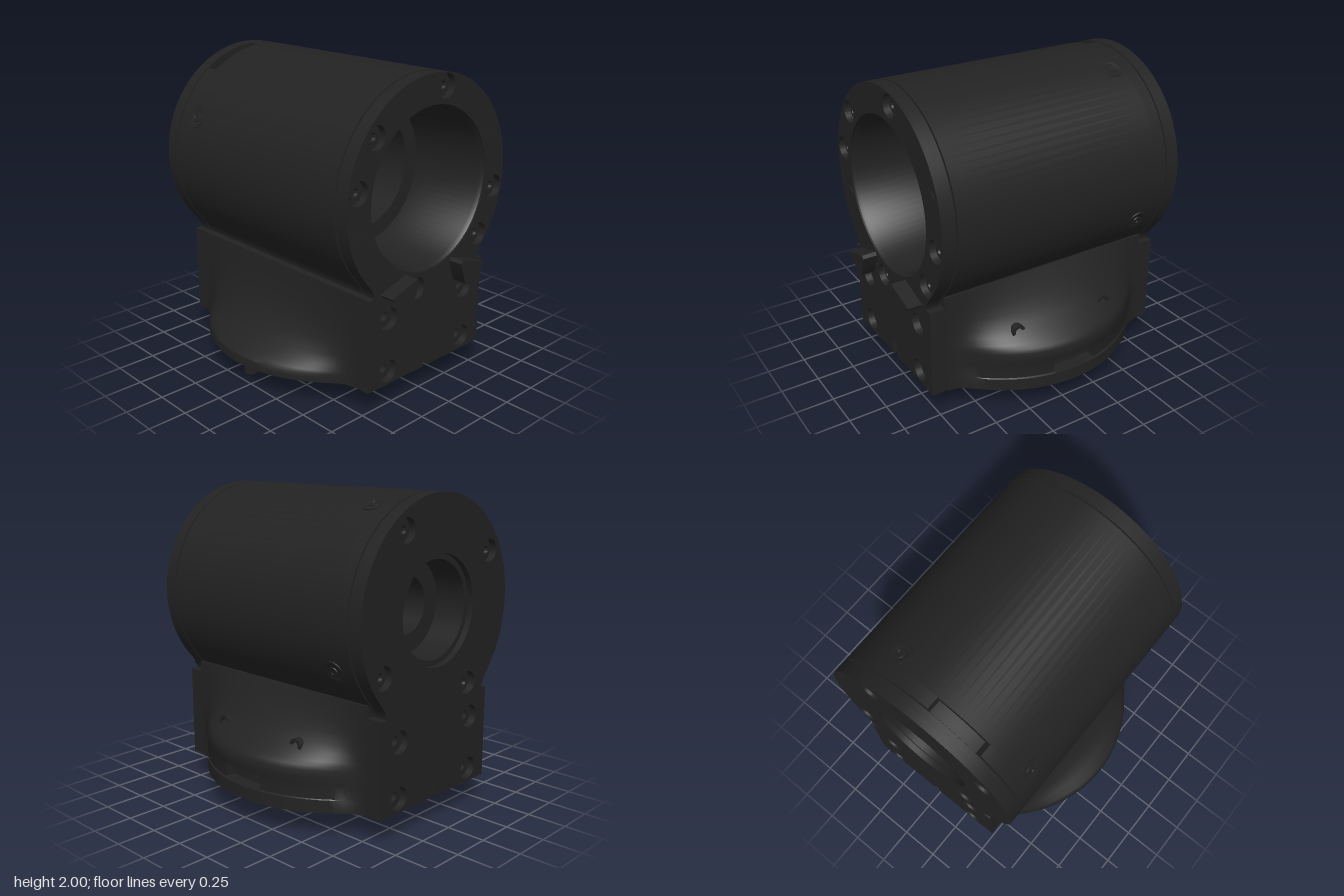
import * as THREE from 'three';
import { toCreasedNormals } from 'three/addons/utils/BufferGeometryUtils.js';

const CY = 1.315, R = 0.685, BASE = 0.17, ZC = -0.05;
const mat = new THREE.MeshStandardMaterial({ color: 0x222222 });
const matDouble = new THREE.MeshStandardMaterial({ color: 0x222222, side: THREE.DoubleSide });
const rad = THREE.MathUtils.degToRad;

function add(parent, name, geo, material = mat) {
  const mesh = new THREE.Mesh(toCreasedNormals(geo, 0.55), material);
  mesh.name = name;
  parent.add(mesh);
  return mesh;
}

// Round housing running down into a square foot
function outline({ inset = 0, notch = false, slot = false } = {}) {
  const r = R - inset, w = 0.46 - inset, y0 = BASE + inset;
  const a0 = rad(-40.5), a1 = Math.PI - a0;
  const s = new THREE.Shape();
  s.moveTo(-w, y0);
  if (slot) {
    s.lineTo(-0.022, y0); s.lineTo(-0.022, 0.26); s.lineTo(0, 0.275);
    s.lineTo(0.022, 0.26); s.lineTo(0.022, y0);
  }
  s.lineTo(w, y0);
  s.lineTo(w, 0.76);
  s.quadraticCurveTo(w, 0.8, r * Math.cos(a0), CY + r * Math.sin(a0));
  if (notch) {
    s.absarc(0, CY, r, a0, rad(94), false);
    s.absarc(0, CY, 0.64, rad(95), rad(125), false);
    s.absarc(0, CY, r, rad(126), a1, false);
  } else s.absarc(0, CY, r, a0, a1, false);
  s.quadraticCurveTo(-w, 0.8, -w, 0.76);
  s.closePath();
  return s;
}

function hole(shape, x, y, r) {
  const p = new THREE.Path();
  p.absarc(x, y, r, 0, Math.PI * 2, true);
  shape.holes.push(p);
}

function slab(shape, z0, z1, seg = 32) {
  return new THREE.ExtrudeGeometry(shape, { depth: z1 - z0, bevelEnabled: false, curveSegments: seg }).translate(0, 0, z0);
}

const polar = (deg, r) => [r * Math.cos(rad(deg)), CY + r * Math.sin(rad(deg))];
const through = [[-0.34, 0.6], [0.34, 0.6], [-0.34, 0.258], [0.34, 0.258]];

function housingSlice(opts, z0, z1, bore, holes, holeR) {
  const s = outline(opts);
  hole(s, 0, CY, bore);
  holes.forEach(([x, y]) => hole(s, x, y, holeR));
  return slab(s, z0, z1);
}

// Outward bulge of the skirt along z, 0 at the ends and 1 at the middle
function bulge(z) {
  const s = Math.sqrt(Math.max(0, 0.83 ** 2 - (z - ZC) ** 2)) - 0.505;
  return (s + Math.sqrt(s * s + 0.004)) / 2 / 0.328;
}

const leftProfile = [[0.505, 0.83], [0.535, 0.765], [0.57, 0.7], [0.61, 0.632], [0.66, 0.57], [0.72, 0.52], [0.78, 0.48],
  [0.808, 0.458], [0.822, 0.43], [0.824, 0.39], [0.815, 0.345], [0.812, 0.335], [0.812, 0.255], [0.825, 0.25], [0.825, BASE]];
const rightProfile = [[0.505, 0.76], [0.52, 0.66], [0.54, 0.57], [0.57, 0.48], [0.61, 0.41], [0.665, 0.34],
  [0.74, 0.275], [0.8, 0.245], [0.82, 0.225], [0.825, 0.2], [0.825, BASE]];

// Skirt lofted along z; the left one has a cable slot near its foot
function skirt(side, profile, slot) {
  const rows = [];
  for (let i = 0; i <= 48; i++) rows.push({ z: -0.78 + 1.48 * i / 48, cut: 0 });
  if (slot) {
    for (const row of rows) if (row.z > -0.2 && row.z < 0.11) row.cut = 0.07;
    for (const z of [-0.2, 0.11]) rows.push({ z, cut: 0 }, { z: z + (z < 0 ? 0.003 : -0.003), cut: 0.07 });
    rows.sort((a, b) => a.z - b.z);
  }
  const pos = [], idx = [], n = profile.length + 2;
  const tri = (a, b, c) => (side > 0 ? idx.push(a, b, c) : idx.push(a, c, b));
  for (const { z, cut } of rows) {
    const k = bulge(z);
    pos.push(side * 0.43, profile[0][1], z);
    profile.forEach(([x, y], j) => {
      const inSlot = slot && (j === 11 || j === 12);
      pos.push(side * (0.505 + (x - 0.505) * k - (inSlot ? cut : 0)), y, z);
    });
    pos.push(side * 0.43, BASE, z);
  }
  for (let i = 0; i < rows.length - 1; i++) for (let j = 0; j < n - 1; j++) {
    const a = i * n + j, c = a + n;
    tri(a, c, a + 1);
    tri(a + 1, c, c + 1);
  }
  const last = (rows.length - 1) * n;
  for (let j = 1; j < n - 1; j++) {
    tri(0, j, j + 1);
    tri(last, last + j + 1, last + j);
  }
  const g = new THREE.BufferGeometry();
  g.setAttribute('position', new THREE.Float32BufferAttribute(pos, 3));
  g.setIndex(idx);
  return g;
}

const lathe = (pts, seg = 48) => new THREE.LatheGeometry(pts.map(p => new THREE.Vector2(...p)), seg);

// Socket screw head facing +y: rim, sunken socket
const screw = (r) => lathe([[r, -0.05], [r, 0], [r * 0.55, 0], [r * 0.45, -0.02], [0, -0.02]], 24);

export function createModel() {
  const model = new THREE.Group();
  model.name = 'jointHousing';

  // Barrel, with a notch at the rear edge and a recessed core showing in the seams
  add(model, 'barrel', housingSlice({}, -0.71, 0.7, 0.5, through, 0.04));
  add(model, 'barrelNotchedEnd', housingSlice({ notch: true }, -0.79, -0.71, 0.5, through, 0.04));
  add(model, 'seamCore', housingSlice({ inset: 0.05 }, -0.81, 0.725, 0.5, through, 0.04));

  // End plates: inner layer with narrow holes, outer layer with counterbores
  const frontScrews = [80, 140, 170, 260, -10, -40].map(a => polar(a, 0.605));
  const backScrews = [57.7, 148, 238, -32].map(a => polar(a, 0.58));
  const plates = [
    { name: 'front', zs: [0.71, 0.755, 0.8], bore: 0.5, screws: frontScrews, dir: 1 },
    { name: 'back', zs: [-0.8, -0.843, -0.888], bore: 0.335, screws: backScrews, dir: -1 },
  ];
  for (const { name, zs, bore, screws, dir } of plates) {
    const all = [...through, ...screws];
    const [a, b, c] = zs;
    add(model, name + 'PlateInner', housingSlice({}, Math.min(a, b), Math.max(a, b), bore, all, 0.032));
    add(model, name + 'PlateOuter', housingSlice({ slot: true }, Math.min(b, c), Math.max(b, c), bore, all, 0.072));
    for (const [x, y] of screws) {
      const m = add(model, name + 'Screw', screw(0.045));
      m.rotation.x = dir * Math.PI / 2;
      m.position.set(x, y, b + dir * 0.015);
    }
  }
  // Flush dowel pins in the front plate
  for (const a of [20, 200]) {
    const [x, y] = polar(a, 0.588);
    add(model, 'dowelPin', new THREE.CylinderGeometry(0.06, 0.06, 0.03, 32).rotateX(Math.PI / 2).translate(x, y, 0.788));
  }

  // Stepped bore through the barrel
  add(model, 'bore', lathe([[0.5, 0.79], [0.485, 0.765], [0.485, 0.25], [0.38, 0.25], [0.38, 0], [0.18, 0], [0.18, -0.05],
    [0.125, -0.05], [0.125, -0.45], [0.18, -0.45], [0.18, -0.64], [0.3, -0.64], [0.3, -0.85], [0.336, -0.85]], 72)
    .rotateX(Math.PI / 2).translate(0, CY, 0), matDouble);

  // Radial screws near the rear of the barrel
  for (const a of [65, 155, -25]) {
    const holder = new THREE.Group();
    holder.name = 'radialScrew';
    holder.position.set(...polar(a, R), -0.635);
    holder.rotation.z = rad(a - 90);
    model.add(holder);
    add(holder, 'screwSeat', lathe([[0.074, -0.02], [0.072, 0.002], [0.05, 0.004], [0.042, 0.001], [0, 0.001]], 32));
    add(holder, 'screwHead', lathe([[0.035, 0], [0.033, 0.006], [0.018, 0.006], [0.016, 0.002], [0, 0.002]], 24));
  }

  // Skirts and the end rails beside them
  add(model, 'leftSkirt', skirt(1, leftProfile, true), matDouble);
  add(model, 'rightSkirt', skirt(-1, rightProfile, false), matDouble);
  for (const s of [-1, 1]) for (const [z0, z1] of [[-0.888, -0.78], [0.7, 0.8]]) {
    const g = new THREE.BoxGeometry(0.07, 0.59, z1 - z0).translate(s * 0.47, 0.465, (z0 + z1) / 2);
    add(model, 'endRail', g);
  }
  // Screws in the left skirt
  for (const z of [0.28, -0.365]) {
    const m = add(model, 'skirtScrew', screw(0.045));
    m.rotation.z = -Math.PI / 2;
    m.position.set(0.505 + 0.2 * bulge(z), 0.535, z);
  }

  // Stop pads on the front
  for (const s of [-1, 1]) {
    const pts = [[0.415, 0.775], [0.395, 0.755], [0.27, 0.68], [0.25, 0.675], [0.235, 0.69], [0.19, 0.82], [0.205, 0.84]];
    const shape = new THREE.Shape(pts.map(([x, y]) => new THREE.Vector2(s * x, y)));
    add(model, 'stopPad', slab(shape, 0.79, 0.895));
  }

  // Mounting disc with a ring of holes, and the hub below it
  const disc = new THREE.Shape().absarc(0, 0, 0.365, 0, Math.PI * 2, false);
  for (let i = 0; i < 6; i++) hole(disc, 0.21 * Math.cos(i * Math.PI / 3), 0.21 * Math.sin(i * Math.PI / 3), 0.025);
  add(model, 'mountingDisc', slab(disc, 0, 0.09).rotateX(Math.PI / 2).translate(0, 0.175, -0.043));
  add(model, 'hub', lathe([[0, 0.05], [0.075, 0.05], [0.075, 0], [0.105, 0], [0.115, 0.01], [0.115, 0.1]])
    .translate(0, 0, -0.043), matDouble);

  // Locating pin under the right skirt
  add(model, 'locatingPin', lathe([[0, 0.05], [0.04, 0.05], [0.048, 0.06], [0.048, 0.135], [0.055, 0.152], [0.075, 0.175]], 32)
    .translate(-0.708, 0, -0.045), matDouble);

  return model;
}
